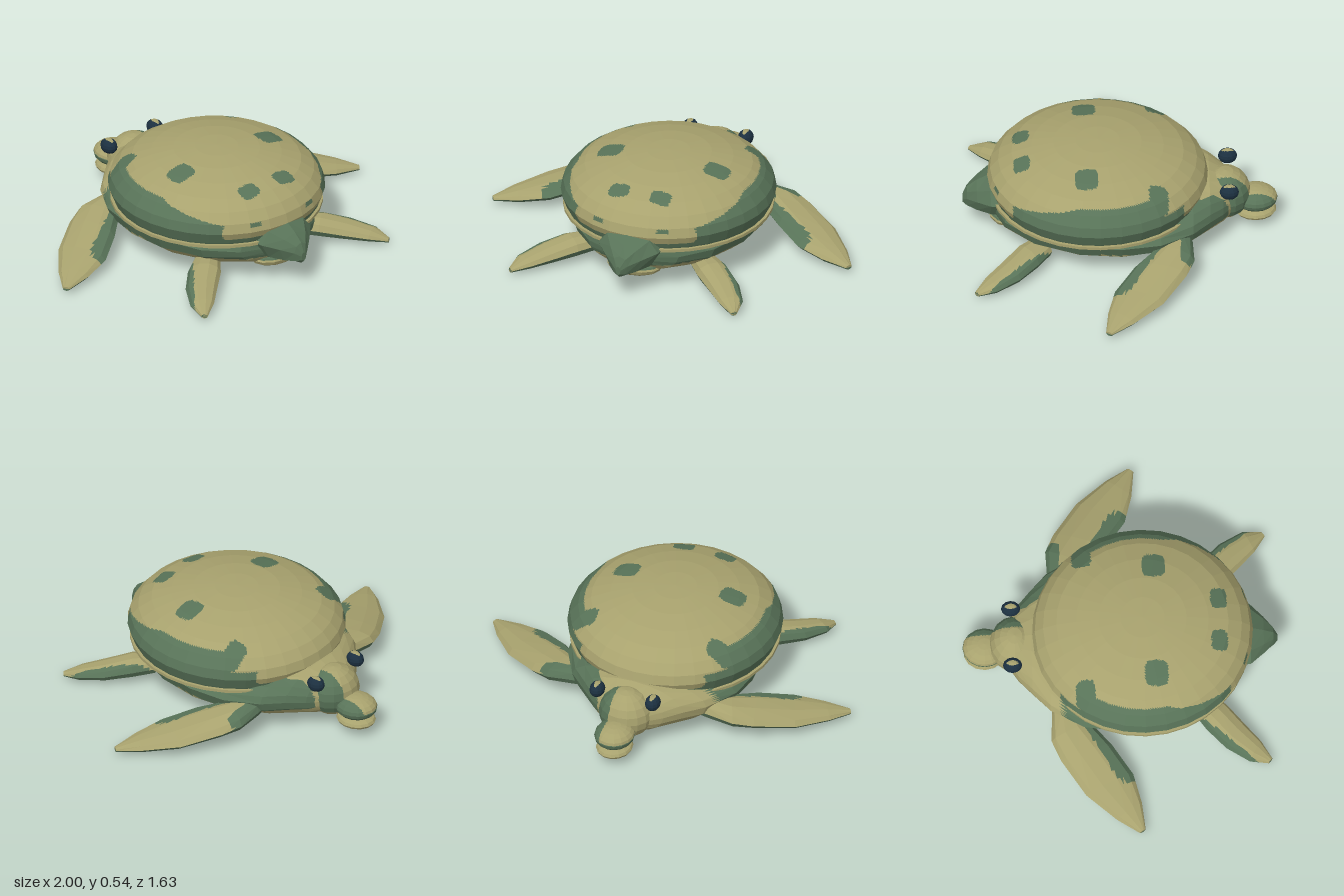
import * as THREE from 'three';

const mat = (name, color) => {
  const m = new THREE.MeshStandardMaterial({ color });
  m.name = name;
  return m;
};

// Closed skin through rings of points, capped at both ends, always facing outward
function loft(rings) {
  const m = rings[0].length, pos = [], idx = [];
  rings.forEach(r => r.forEach(p => pos.push(p.x, p.y, p.z)));
  for (let i = 0; i < rings.length - 1; i++) {
    for (let j = 0; j < m; j++) {
      const a = i * m + j, b = i * m + (j + 1) % m;
      idx.push(a, b, a + m, b, b + m, a + m);
    }
  }
  const end = (rings.length - 1) * m;
  for (let j = 1; j < m - 1; j++) idx.push(0, j + 1, j, end, end + j, end + j + 1);
  const v = i => new THREE.Vector3().fromArray(pos, i * 3);
  let volume = 0;
  for (let i = 0; i < idx.length; i += 3) volume += v(idx[i]).dot(v(idx[i + 1]).cross(v(idx[i + 2])));
  if (volume < 0) idx.reverse();
  const g = new THREE.BufferGeometry();
  g.setAttribute('position', new THREE.Float32BufferAttribute(pos, 3));
  g.setIndex(idx);
  return g;
}

// Rings across z from rows of [z, halfWidth, top, widestY, bottom]
const bodyRings = (rows, sides) => rows.map(([z, w, top, mid, bottom]) =>
  Array.from({ length: sides }, (_, i) => {
    const a = i / sides * Math.PI * 2, s = Math.sin(a);
    return new THREE.Vector3(w * Math.cos(a), mid + s * (s > 0 ? top - mid : mid - bottom), z);
  }));

// Rings for a flipper from rows of [leadX, leadZ, trailX, trailZ, y, halfThickness]
const flipperRings = (rows, side) => rows.map(([lx, lz, tx, tz, y, t]) =>
  Array.from({ length: 10 }, (_, i) => {
    const a = i / 10 * Math.PI * 2, c = Math.cos(a) / 2;
    return new THREE.Vector3(side * ((lx + tx) / 2 + c * (lx - tx)), y + t * Math.sin(a),
      (lz + tz) / 2 + c * (lz - tz));
  }));

// Faceted mesh whose facets are cut finely and sorted into two colours by a rule
function painted(name, geometry, level, materials, rule) {
  const src = geometry.index ? geometry.toNonIndexed() : geometry;
  const p = src.attributes.position, lists = [[], []], n = new THREE.Vector3();
  const cut = (a, b, c, k) => {
    if (k > 0) {
      const ab = a.clone().lerp(b, 0.5), bc = b.clone().lerp(c, 0.5), ca = c.clone().lerp(a, 0.5);
      cut(a, ab, ca, k - 1); cut(ab, b, bc, k - 1);
      cut(ca, bc, c, k - 1); cut(ab, bc, ca, k - 1);
      return;
    }
    const mid = a.clone().add(b).add(c).divideScalar(3);
    const list = lists[rule(mid, n) ? 1 : 0];
    [a, b, c].forEach(q => list.push(q.x, q.y, q.z));
  };
  for (let i = 0; i < p.count; i += 3) {
    const [a, b, c] = [0, 1, 2].map(k => new THREE.Vector3().fromBufferAttribute(p, i + k));
    n.copy(b).sub(a).cross(c.clone().sub(a));
    if (n.length() < 1e-9) continue;
    n.normalize();
    cut(a, b, c, level);
  }
  const g = new THREE.BufferGeometry();
  g.setAttribute('position', new THREE.Float32BufferAttribute(lists[0].concat(lists[1]), 3));
  g.computeVertexNormals();
  g.addGroup(0, lists[0].length / 3, 0);
  g.addGroup(lists[0].length / 3, lists[1].length / 3, 1);
  const mesh = new THREE.Mesh(g, materials);
  mesh.name = name;
  return mesh;
}

const ellipsoid = (x, y, z, rx, ry, rz, w = 16, h = 10) =>
  new THREE.SphereGeometry(1, w, h).scale(rx, ry, rz).translate(x, y, z);

export function createModel() {
  const group = new THREE.Group();
  const tan = mat('tan', 0xa8a26e), green = mat('green', 0x587358), navy = mat('navy', 0x1c3040);
  const skin = [tan, green];
  const add = (...args) => group.add(painted(...args));

  // Domed shell with green flanks and square spots
  const profile = [[0, 0.225], [0.93, 0.225], [0.96, 0.26], [1, 0.32], [0.975, 0.37], [0.9, 0.42],
    [0.78, 0.465], [0.6, 0.5], [0.4, 0.525], [0.2, 0.537], [0, 0.54]];
  const shell = new THREE.LatheGeometry(profile.map(q => new THREE.Vector2(...q)), 32)
    .scale(0.555, 1, 0.57).translate(0, 0, 0.115);
  const spots = [[0.295, 0.18, 0.065, 0.06], [0.115, 0.51, 0.055, 0.042], [0.37, -0.19, 0.06, 0.05]];
  add('shell', shell, 3, skin, p => {
    const x = Math.abs(p.x);
    if (p.y < 0.28) return true;
    if (p.y > 0.44 || p.z < 0.3) {
      if (spots.some(([sx, sz, w, d]) => ((x - sx) / w) ** 4 + ((p.z - sz) / d) ** 4 < 1)) return true;
    }
    if (p.z > 0.5 && Math.abs(x - 0.18) < 0.03 && Math.abs(p.y - 0.355) < 0.012) return true;
    const top = p.z > 0.22 ? 0.44 - (p.z - 0.22) * 0.22 : p.z < -0.22 ? 0.36 : 0.44;
    return p.y < top && p.z > -0.32 && p.z < 0.56 && x > 0.3;
  });

  // Thin rim under the shell
  add('shellRim', new THREE.CylinderGeometry(0.98, 0.98, 0.016, 32)
    .scale(0.555, 1, 0.57).translate(0, 0.243, 0.115), 0, skin, () => false);

  // Body with a pale belly
  add('body', loft(bodyRings([
    [0.66, 0.1, 0.28, 0.2, 0.13], [0.6, 0.25, 0.29, 0.2, 0.09], [0.45, 0.39, 0.28, 0.2, 0.045],
    [0.22, 0.48, 0.28, 0.2, 0.01], [0, 0.5, 0.28, 0.2, 0], [-0.2, 0.47, 0.29, 0.2, 0.018],
    [-0.37, 0.375, 0.32, 0.2, 0.045], [-0.46, 0.28, 0.325, 0.2, 0.058],
    [-0.53, 0.2, 0.3, 0.19, 0.07], [-0.58, 0.12, 0.27, 0.18, 0.09]], 20)), 2, skin,
  p => p.y > 0.145 && (p.z > -0.3 || p.x > 0.16 + Math.max(0, p.z + 0.5) * 0.5));

  // Tail and the fold beneath it
  add('tail', loft(bodyRings([
    [0.56, 0.18, 0.33, 0.24, 0.11], [0.67, 0.165, 0.33, 0.24, 0.12], [0.74, 0.1, 0.29, 0.22, 0.12],
    [0.79, 0.045, 0.25, 0.2, 0.13], [0.812, 0.014, 0.2, 0.18, 0.15]], 8)), 1, skin, () => true);
  add('tailFold', ellipsoid(0, 0.11, 0.585, 0.15, 0.05, 0.1, 12, 8), 1, skin, p => p.y > 0.12);

  // Head, snout and jaw
  add('head', ellipsoid(0, 0.19, -0.545, 0.145, 0.135, 0.13), 2, skin,
    p => p.x > 0.05 && p.y > 0.11);
  add('snout', ellipsoid(0, 0.15, -0.7, 0.105, 0.06, 0.114), 2, skin,
    p => p.x > 0.05 || p.y < 0.155);
  add('jaw', ellipsoid(0, 0.075, -0.7, 0.095, 0.035, 0.108, 14, 8), 0, skin, () => false);

  // Paired parts
  const front = [[0.28, -0.35, 0.26, -0.24, 0.15, 0.045], [0.38, -0.365, 0.34, -0.21, 0.15, 0.055],
    [0.52, -0.37, 0.43, -0.16, 0.135, 0.055], [0.62, -0.325, 0.54, -0.06, 0.115, 0.05],
    [0.8, -0.2, 0.69, 0.045, 0.075, 0.043], [0.93, -0.045, 0.84, 0.085, 0.05, 0.03],
    [1, 0.07, 0.98, 0.1, 0.033, 0.012]];
  const rear = [[0.36, 0.36, 0.25, 0.44, 0.09, 0.05], [0.46, 0.43, 0.33, 0.54, 0.085, 0.055],
    [0.56, 0.53, 0.42, 0.62, 0.065, 0.045], [0.63, 0.65, 0.52, 0.71, 0.045, 0.03],
    [0.635, 0.745, 0.61, 0.766, 0.024, 0.012]];
  for (const side of [1, -1]) {
    const label = side > 0 ? 'left' : 'right';
    add(label + 'FrontFlipper', loft(flipperRings(front, side)), 2, skin, (p, n) => {
      const x = Math.abs(p.x);
      return n.y < 0 || (x < 0.74 && p.z > 0.6 * x - 0.47) || (side > 0 && x < 0.56 && p.z < -0.3);
    });
    add(label + 'RearFlipper', loft(flipperRings(rear, side)), 2, skin,
      (p, n) => n.y < 0 || p.z < 1.25 * Math.abs(p.x) - 0.1);
    // Eye with a small pale glint on top
    add(label + 'Eye', ellipsoid(side * 0.155, 0.3, -0.56, 0.04, 0.041, 0.05, 12, 8), 2, [navy, tan],
      p => p.y > 0.3 && ((Math.abs(p.x) - 0.155) / 0.014) ** 2 + ((p.z + 0.56) / 0.03) ** 2 < 1);
  }
  return group;
}
